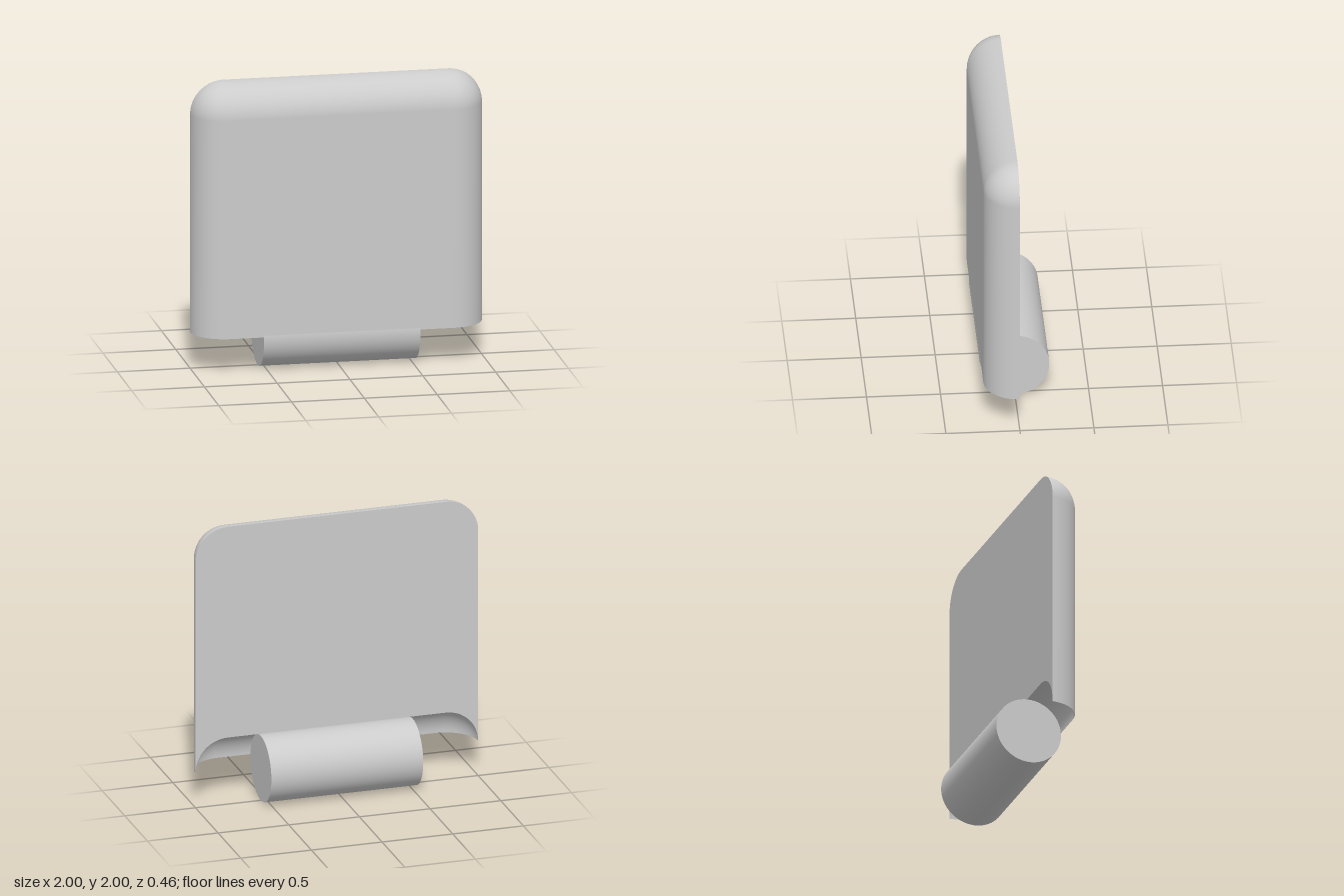
import * as THREE from 'three';

const R = 0.23;             // rounding radius, also the panel depth
const CX = 1 - R;           // x of the corner centres
const LOW = 0.25, HIGH = 2 - R;
const SEG = 20;
const material = new THREE.MeshStandardMaterial({ color: 0xcccccc, side: THREE.DoubleSide });

// Skin over stacked D-shaped loops, each given as [radius, height]
function skin(levels) {
  const pos = [], index = [], cols = 2 * (SEG + 1);
  for (const [r, y] of levels) {
    for (let i = 0; i < cols; i++) {
      const right = i <= SEG;
      const a = ((right ? i : i - 1) / SEG) * Math.PI / 2;
      pos.push((right ? CX : -CX) + r * Math.cos(a), y, r * Math.sin(a));
    }
  }
  for (let j = 0; j < levels.length - 1; j++) {
    for (let i = 0; i < cols - 1; i++) {
      const a = j * cols + i, b = a + cols;
      index.push(a, b, a + 1, b, b + 1, a + 1);
    }
  }
  const geo = new THREE.BufferGeometry();
  geo.setAttribute('position', new THREE.Float32BufferAttribute(pos, 3));
  geo.setIndex(index);
  geo.computeVertexNormals();
  return geo;
}

// Quarter-round levels rising from a base height
function dome(base) {
  return Array.from({ length: SEG + 1 }, (_, k) => {
    const t = (k / SEG) * Math.PI / 2;
    return [R * Math.cos(t), base + R * Math.sin(t)];
  });
}

export function createModel() {
  const model = new THREE.Group();
  const add = (name, geo) => {
    const mesh = new THREE.Mesh(geo, material);
    mesh.name = name;
    model.add(mesh);
    return mesh;
  };

  // Rounded front, sides and top
  add('panelShell', skin([[R, LOW], ...dome(HIGH)]));

  // Hollow in the underside, repeating the curve of the top
  add('hingeRecess', skin(dome(LOW).reverse()));

  // Flat back with rounded top corners and the recess cut from its lower edge
  const back = new THREE.Shape();
  back.moveTo(1, LOW);
  back.lineTo(1, HIGH);
  back.absarc(CX, HIGH, R, 0, Math.PI / 2, false);
  back.absarc(-CX, HIGH, R, Math.PI / 2, Math.PI, false);
  back.lineTo(-1, LOW);
  back.absarc(-CX, LOW, R, Math.PI, Math.PI / 2, true);
  back.absarc(CX, LOW, R, Math.PI / 2, 0, true);
  add('panelBack', new THREE.ShapeGeometry(back, SEG)).rotation.y = Math.PI;

  // Hinge barrel lying along x
  const barrel = add('hingeBarrel', new THREE.CylinderGeometry(0.232, 0.232, 1.074, 64));
  barrel.rotation.z = Math.PI / 2;
  barrel.position.y = 0.232;

  return model;
}
